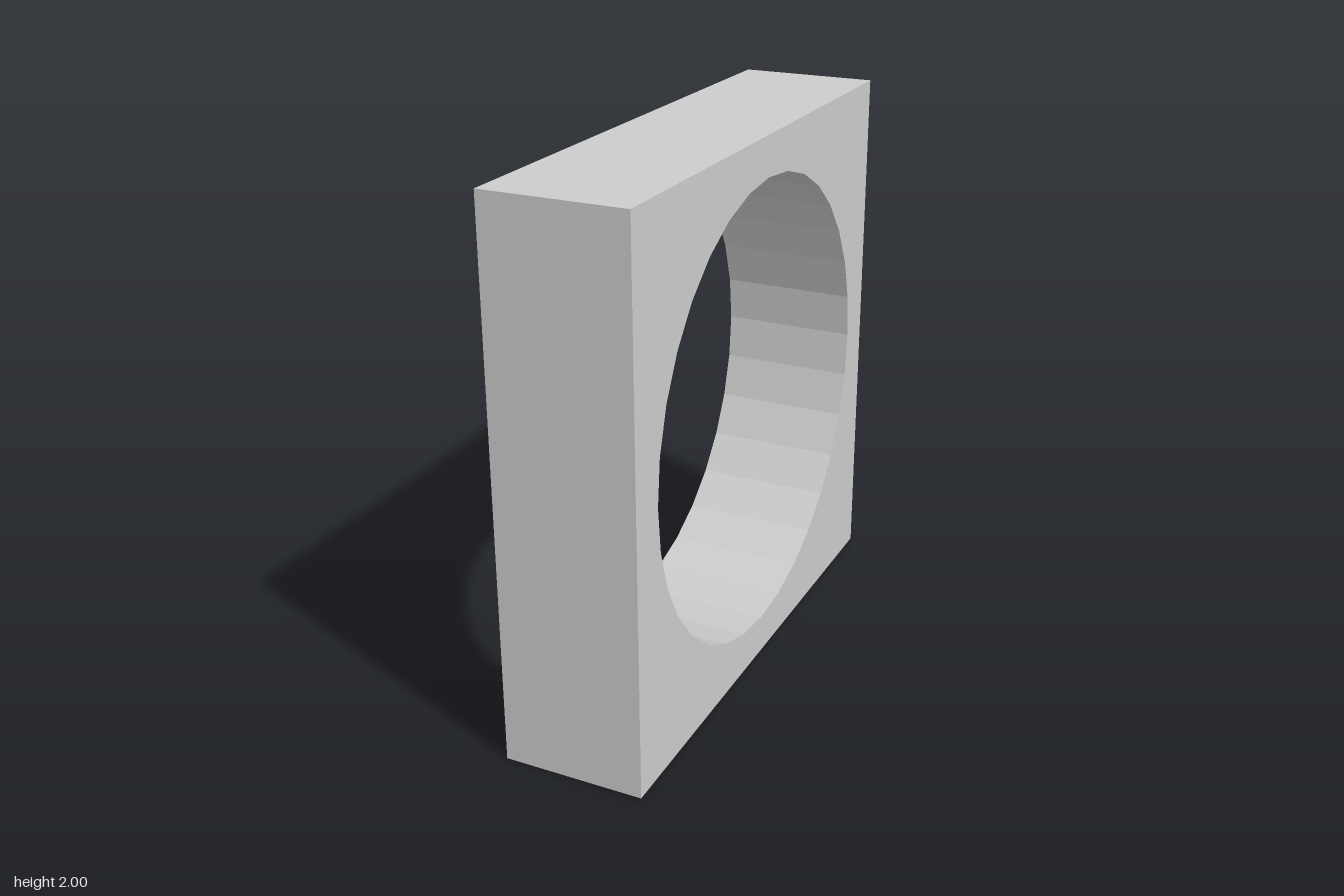
import * as THREE from 'three';

const SIZE = 2;
const DEPTH = 0.515;
const HOLE_RADIUS = 0.853;
const HOLE_SIDES = 32;

export function createModel() {
  const group = new THREE.Group();
  group.name = 'squareFrame';

  // Square outline
  const h = SIZE / 2;
  const outline = new THREE.Shape([
    new THREE.Vector2(-h, -h),
    new THREE.Vector2(h, -h),
    new THREE.Vector2(h, h),
    new THREE.Vector2(-h, h),
  ]);

  // Faceted round opening
  const rim = [];
  for (let i = 0; i < HOLE_SIDES; i++) {
    const a = (-i / HOLE_SIDES) * Math.PI * 2;
    rim.push(new THREE.Vector2(Math.cos(a) * HOLE_RADIUS, Math.sin(a) * HOLE_RADIUS));
  }
  outline.holes.push(new THREE.Path(rim));

  // Block with the opening running from side to side along x
  const geometry = new THREE.ExtrudeGeometry(outline, { depth: DEPTH, bevelEnabled: false });
  geometry.translate(0, 0, -DEPTH / 2);
  geometry.rotateY(Math.PI / 2);
  geometry.translate(0, h, 0);

  const block = new THREE.Mesh(
    geometry,
    new THREE.MeshStandardMaterial({ color: 0xcccccc, flatShading: true })
  );
  block.name = 'blockWithRoundOpening';
  group.add(block);

  return group;
}
